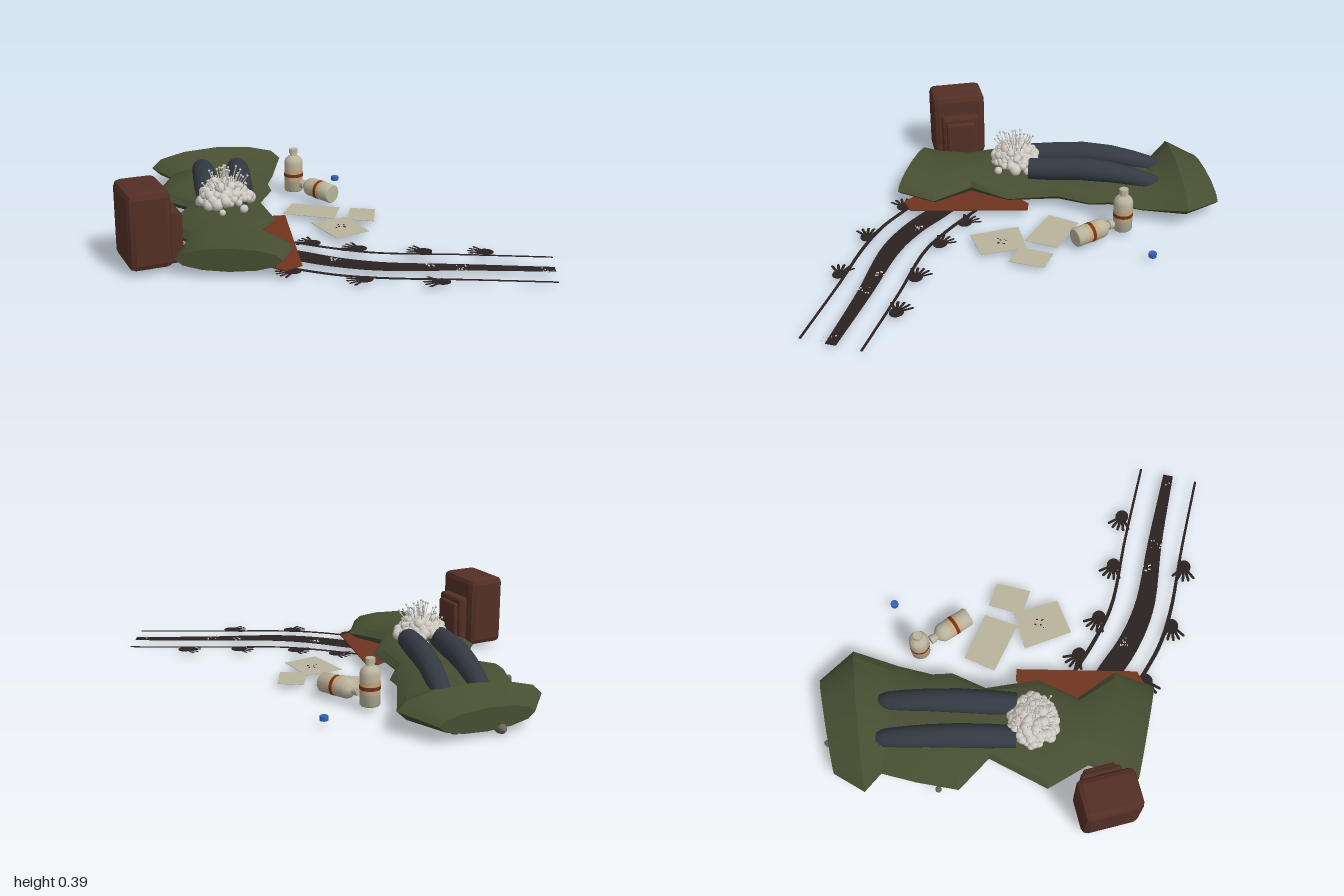
import * as THREE from 'three';
import { toCreasedNormals } from 'three/addons/utils/BufferGeometryUtils.js';
import { RoundedBoxGeometry } from 'three/addons/geometries/RoundedBoxGeometry.js';

const COLORS = {
  canvas: 0x474e31, denim: 0x343a43, fungus: 0xcfcbc3, leather: 0x532f25, rust: 0x70351f,
  stain: 0x2b2121, cream: 0xb9b49c, label: 0xc6a67c, blue: 0x3662b8, boot: 0x6b635a,
};

export function createModel() {
  const root = new THREE.Group();
  const mats = {};
  for (const [name, color] of Object.entries(COLORS)) {
    mats[name] = new THREE.MeshStandardMaterial({ color });
    mats[name].name = name;
  }
  let seed = 11;
  const rnd = (a = 0, b = 1) => {
    seed = (seed * 16807) % 2147483647;
    return a + (b - a) * (seed / 2147483647);
  };
  const add = (name, geo, mat, parent = root, pos = [0, 0, 0]) => {
    const m = new THREE.Mesh(geo, mats[mat]);
    m.name = name;
    m.position.set(...pos);
    parent.add(m);
    return m;
  };

  // Closed skin over oval rings, front to back: [xLow, zLow, xHigh, zHigh, top, bottom]
  const loft = (rows, sides, crease) => {
    const pos = [], idx = [];
    for (const [x0, z0, x1, z1, top, bot] of rows)
      for (let j = 0; j < sides; j++) {
        const a = (j / sides) * Math.PI * 2, t = (1 + Math.cos(a)) / 2;
        pos.push(x0 + (x1 - x0) * t, (top + bot) / 2 + (Math.sin(a) * (top - bot)) / 2, z0 + (z1 - z0) * t);
      }
    const n = rows.length;
    for (let i = 0; i < n - 1; i++)
      for (let j = 0; j < sides; j++) {
        const k = (j + 1) % sides, a = i * sides + j, b = i * sides + k;
        idx.push(a, a + sides, b, b, a + sides, b + sides);
      }
    const e = (n - 1) * sides;
    for (let j = 1; j < sides - 1; j++) idx.push(0, j, j + 1, e, e + j + 1, e + j);
    const g = new THREE.BufferGeometry();
    g.setAttribute('position', new THREE.Float32BufferAttribute(pos, 3));
    g.setIndex(idx);
    return toCreasedNormals(g, crease);
  };

  // Thin plate lying on the ground, outline given as [x, z]
  const plate = (pts, depth = 0.002) =>
    new THREE.ExtrudeGeometry(new THREE.Shape(pts.map(([x, z]) => new THREE.Vector2(x, -z))),
      { depth, bevelEnabled: false }).rotateX(-Math.PI / 2);

  // Crumpled sleeping bag
  add('sleepingBag', loft([
    [-0.72, 0.63, -0.25, 0.71, 0.14, 0.03],
    [-0.71, 0.55, -0.18, 0.51, 0.13, 0.02],
    [-0.66, 0.385, -0.32, 0.33, 0.15, 0.02],
    [-0.78, 0.19, -0.23, 0.13, 0.13, 0.02],
    [-0.64, -0.10, -0.28, -0.13, 0.13, 0.02],
    [-0.80, -0.24, -0.21, -0.30, 0.14, 0.02],
    [-0.77, -0.45, -0.22, -0.40, 0.15, 0.02],
    [-0.73, -0.62, -0.18, -0.57, 0.13, 0.02],
    [-0.83, -0.69, -0.12, -0.80, 0.20, 0.02],
    [-0.74, -0.85, -0.27, -0.96, 0.14, 0.03],
  ], 12, 0.55), 'canvas');

  // Trouser legs: [z, centre height, radius]
  for (const [x, xEnd] of [[-0.55, -0.565], [-0.385, -0.375]]) {
    const rows = [[0.03, 0.175, 0.055], [-0.1, 0.18, 0.06], [-0.25, 0.187, 0.06], [-0.4, 0.175, 0.056],
      [-0.52, 0.15, 0.052], [-0.61, 0.128, 0.046], [-0.65, 0.12, 0.035], [-0.665, 0.117, 0.015]]
      .map(([z, y, r]) => {
        const cx = x + ((xEnd - x) * (0.03 - z)) / 0.7;
        return [cx - r, z, cx + r, z, y + r, y - r];
      });
    add('trouserLeg', loft(rows, 16, 1.1), 'denim');
  }

  // Boots under the hood end, and a small knob beside the bag
  for (const [x, z] of [[-0.575, -0.84], [-0.37, -0.81]])
    add('boot', new THREE.SphereGeometry(1, 14, 10).scale(0.03, 0.03, 0.08), 'boot', root, [x, 0.03, z]);
  add('knob', new THREE.CapsuleGeometry(0.015, 0.015, 4, 10), 'boot', root, [-0.795, 0.06, -0.34]);

  // Fungus mound: packed beads with thin sprouting stalks
  const mound = new THREE.Group();
  mound.name = 'fungusMound';
  mound.position.set(-0.47, 0.14, 0.11);
  root.add(mound);
  const bead = new THREE.SphereGeometry(1, 10, 8);
  for (let i = 0; i < 130; i++) {
    const r = Math.sqrt((i + 0.5) / 130), a = i * 2.39996, s = rnd(0.011, 0.03);
    add('bead', bead, 'fungus', mound, [Math.cos(a) * r * 0.125,
      0.1 * Math.sqrt(1 - r * r) + rnd(-0.015, 0.015) + 0.015, Math.sin(a) * r * 0.115]).scale.setScalar(s);
  }
  const up = new THREE.Vector3(0, 1, 0);
  for (let i = 0; i < 40; i++) {
    const a = i * 2.39996, lean = rnd(0.05, 1.0), len = rnd(0.13, 0.18) + 0.03 * Math.cos(lean);
    const dir = new THREE.Vector3(Math.cos(a) * lean, 1, Math.sin(a) * lean).normalize();
    const stalk = add('stalk', new THREE.CylinderGeometry(0.002, 0.004, len, 5).translate(0, len / 2, 0), 'fungus', mound);
    stalk.quaternion.setFromUnitVectors(up, dir);
    add('stalkTip', bead, 'fungus', mound, dir.multiplyScalar(len).toArray()).scale.setScalar(0.006);
  }

  // Backpack with stepped front pocket
  const pack = new THREE.Group();
  pack.name = 'backpack';
  pack.position.set(-0.858, 0.025, 0.47);
  pack.rotation.y = 0.28;
  root.add(pack);
  const block = (name, w, h, d, r, x) => add(name,
    toCreasedNormals(new RoundedBoxGeometry(w, h, d, 1, r), 0.3), 'leather', pack, [x, h / 2, 0]);
  block('packBody', 0.2, 0.365, 0.285, 0.03, 0);
  block('packPocket', 0.07, 0.26, 0.2, 0.015, 0.11);
  block('packFlap', 0.04, 0.23, 0.16, 0.012, 0.145);

  // Bottles: one standing, one lying
  const bottle = () => {
    const g = new THREE.Group();
    g.name = 'bottle';
    const profile = [[0, 0], [0.044, 0], [0.049, 0.006], [0.049, 0.155], [0.045, 0.172], [0.032, 0.187],
      [0.02, 0.195], [0.018, 0.205], [0.023, 0.207], [0.023, 0.231], [0, 0.231]].map((p) => new THREE.Vector2(...p));
    add('bottleBody', toCreasedNormals(new THREE.LatheGeometry(profile, 20), 0.7), 'cream', g);
    add('bottleLabel', new THREE.CylinderGeometry(0.0497, 0.0497, 0.06, 20), 'label', g, [0, 0.092, 0]);
    add('bottleBand', new THREE.CylinderGeometry(0.0505, 0.0505, 0.018, 20), 'rust', g, [0, 0.09, 0]);
    root.add(g);
    return g;
  };
  bottle().position.set(-0.075, 0.025, -0.47);
  const lying = bottle();
  lying.position.set(0.103, 0.07, -0.235);
  lying.quaternion.setFromUnitVectors(up, new THREE.Vector3(-0.6, 0.02, -0.8).normalize());
  add('bottleCap', new THREE.CylinderGeometry(0.02, 0.02, 0.022, 14), 'blue', root, [0.17, 0.034, -0.62]);

  // Loose papers
  for (const pts of [
    [[-0.107, -0.246], [0.128, -0.15], [0.075, 0.016], [-0.171, -0.091]],
    [[0.182, -0.134], [0.305, -0.096], [0.267, 0.08], [0.139, 0.037]],
    [[-0.048, 0.059], [0.144, 0], [0.219, 0.219], [0.048, 0.294]],
  ]) add('paper', plate(pts), 'cream', root, [0, 0.023, 0]);

  // Rust cloth spilling out from under the bag, lifting toward the back
  const cloth = add('cloth', plate([[-0.23, 0.02], [-0.17, 0.02], [-0.155, 0.63], [-0.24, 0.68], [-0.45, 0.5], [-0.36, 0.15]], 0.006),
    'rust', root, [0, 0.05, 0]);
  cloth.rotation.x = 0.04;

  // Stained track with two thin side lines: [x, z, half width]
  const ribbon = (pts) => {
    const curve = new THREE.CatmullRomCurve3(pts.map(([x, z, w]) => new THREE.Vector3(x, w, z)));
    const a = [], b = [];
    for (let i = 0; i <= 24; i++) {
      const p = curve.getPoint(i / 24), t = curve.getTangent(i / 24), l = Math.hypot(t.x, t.z);
      a.push([p.x - (t.z / l) * p.y, p.z + (t.x / l) * p.y]);
      b.unshift([p.x + (t.z / l) * p.y, p.z - (t.x / l) * p.y]);
    }
    return plate([...a, ...b]);
  };
  const tracks = {
    mainTrack: [[-0.42, 0.33, 0.055], [-0.16, 0.49, 0.058], [0, 0.59, 0.055], [0.2, 0.67, 0.05], [0.57, 0.73, 0.036], [0.963, 0.805, 0.026]],
    farLine: [[-0.3, 0.23, 0.01], [-0.16, 0.315, 0.01], [0, 0.41, 0.01], [0.2, 0.5, 0.009], [0.57, 0.57, 0.007], [0.998, 0.66, 0.006]],
    nearLine: [[-0.33, 0.57, 0.01], [-0.19, 0.65, 0.01], [0, 0.75, 0.01], [0.2, 0.81, 0.009], [0.51, 0.865, 0.007], [0.93, 0.95, 0.006]],
  };
  for (const [name, pts] of Object.entries(tracks)) add(name, ribbon(pts), 'stain', root, [0, 0.02, 0]);

  // Hand prints along the lines
  const palm = new THREE.CylinderGeometry(0.037, 0.037, 0.003, 16).scale(1, 1, 0.92);
  const finger = new THREE.CapsuleGeometry(0.007, 0.06, 3, 8).rotateZ(Math.PI / 2).translate(-0.048, 0, 0).scale(1, 0.2, 1);
  for (const [x, z, turn] of [[-0.07, 0.335, -0.6], [0.135, 0.435, -0.5], [0.43, 0.51, -0.35], [0.71, 0.555, -0.3],
    [-0.2, 0.675, 0.3], [0.1, 0.81, 0.1], [0.43, 0.88, -0.1]]) {
    const hand = new THREE.Group();
    hand.name = 'handPrint';
    hand.position.set(x, 0.022, z);
    hand.rotation.y = turn;
    root.add(hand);
    add('palm', palm, 'stain', hand);
    for (let i = -2; i <= 2; i++) add('finger', finger, 'stain', hand).rotation.y = i * 0.38;
  }

  // Scattered specks on the track and one paper: [x, z, spread, colour]
  const speck = new THREE.BoxGeometry(1, 0.5, 1);
  for (const [x, z, spread, mat] of [[0.005, 0.565, 0.02, 'fungus'], [0.42, 0.685, 0.02, 'fungus'],
    [0.54, 0.74, 0.035, 'fungus'], [0.92, 0.82, 0.03, 'fungus'], [0.09, 0.13, 0.025, 'stain']])
    for (let i = 0; i < 9; i++)
      add('speck', speck, mat, root, [x + rnd(-spread, spread), 0.025, z + rnd(-spread, spread)])
        .scale.setScalar(rnd(0.004, 0.008));

  return root;
}
